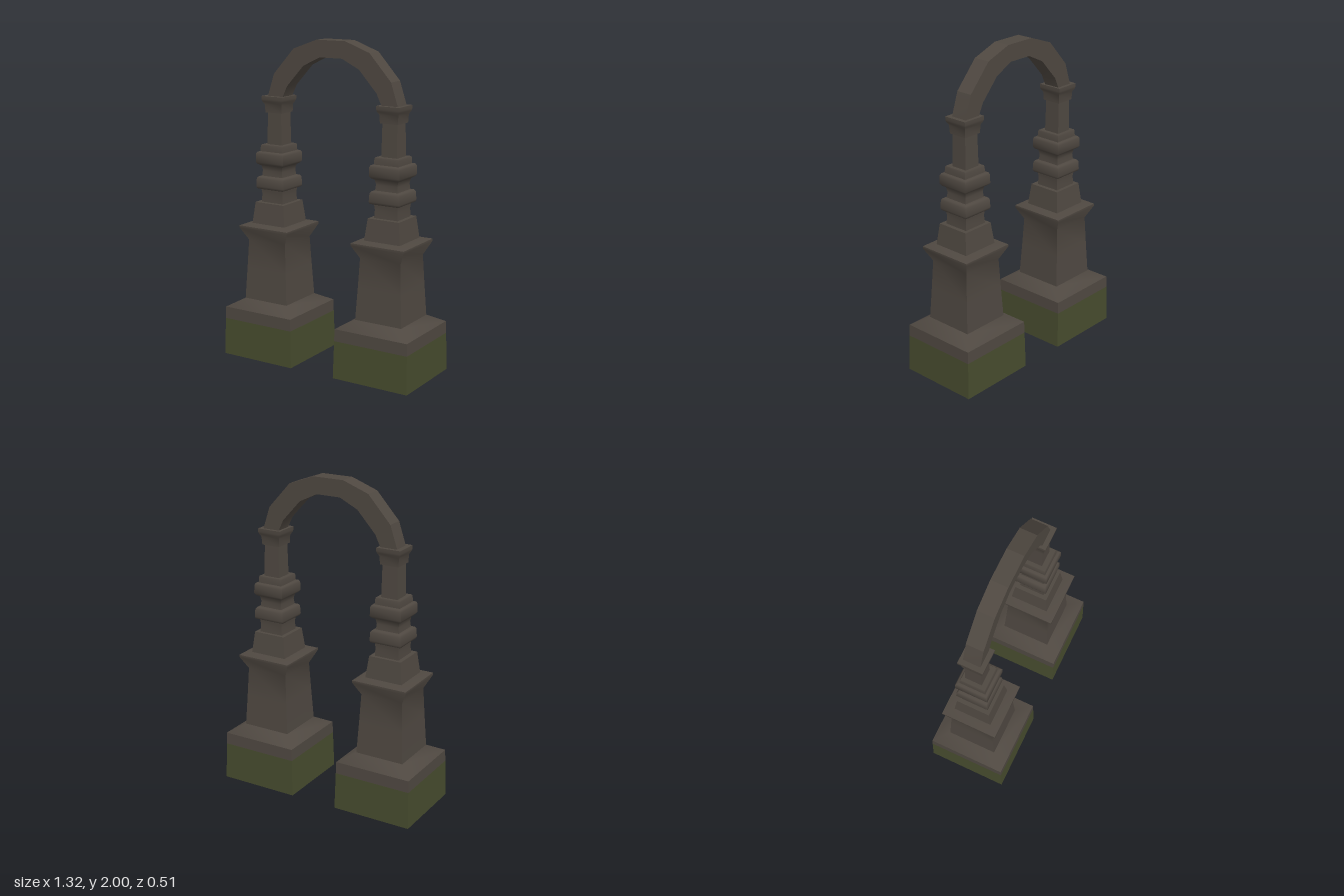
import * as THREE from 'three';
import { toCreasedNormals } from 'three/addons/utils/BufferGeometryUtils.js';

const stone = new THREE.MeshStandardMaterial({ color: 0x4f4841 });
stone.name = 'weathered stone';
const moss = new THREE.MeshStandardMaterial({ color: 0x474c2e });
moss.name = 'moss green';

// Square-section turning: profile rows are [half width, height], bottom to top
function squareTurned(name, profile, material, z = 0) {
  const points = profile.map(([half, y]) => new THREE.Vector2(half * Math.SQRT2, y));
  const geometry = new THREE.LatheGeometry(points, 4, Math.PI / 4);
  const mesh = new THREE.Mesh(toCreasedNormals(geometry, 0.95), material);
  mesh.name = name;
  mesh.position.z = z;
  return mesh;
}

function createPillar(name, x) {
  const pillar = new THREE.Group();
  pillar.name = name;
  pillar.position.x = x;

  pillar.add(squareTurned('mossyBase', [
    [0, 0], [0.254, 0], [0.248, 0.235],
  ], moss));

  // Upper plinth, tapering pedestal and its flared ledge
  pillar.add(squareTurned('pedestal', [
    [0.248, 0.235], [0.246, 0.31], [0.157, 0.36], [0.146, 0.56], [0.137, 0.74],
    [0.178, 0.82], [0.178, 0.835], [0.12, 0.847], [0, 0.847],
  ], stone));

  pillar.add(squareTurned('steppedBlock', [
    [0.121, 0.843], [0.112, 0.92], [0.105, 0.98], [0, 0.98],
  ], stone));

  // Neck with two rounded collars
  pillar.add(squareTurned('collaredNeck', [
    [0.08, 0.97], [0.076, 1.03], [0.08, 1.06], [0.099, 1.067], [0.103, 1.08],
    [0.1, 1.13], [0.092, 1.141], [0.076, 1.145], [0.072, 1.18], [0.078, 1.21],
    [0.095, 1.22], [0.103, 1.232], [0.102, 1.285], [0.096, 1.297], [0.082, 1.3],
    [0.08, 1.335], [0.077, 1.342], [0, 1.342],
  ], stone, -0.004));

  pillar.add(squareTurned('shaft', [
    [0.053, 1.335], [0.049, 1.56],
  ], stone, -0.01));

  pillar.add(squareTurned('capital', [
    [0, 1.54], [0.06, 1.54], [0.063, 1.59], [0.074, 1.61], [0.077, 1.622],
    [0.077, 1.642], [0, 1.642],
  ], stone, -0.01));

  // Bare stone spot on the underside
  const spot = new THREE.Mesh(new THREE.CylinderGeometry(0.1, 0.1, 0.002, 8), stone);
  spot.name = 'undersidePatch';
  spot.position.y = 0.0005;
  pillar.add(spot);
  return pillar;
}

// Faceted arch band, mirrored from its right half
function createArch() {
  const outer = [[0.46, 1.62], [0.455, 1.645], [0.41, 1.78], [0.265, 1.94], [0.1, 2]];
  const inner = [[0.078, 1.897], [0.195, 1.84], [0.314, 1.71], [0.35, 1.635], [0.353, 1.62]];
  const mirrored = (points) => points.map(([x, y]) => [-x, y]).reverse();
  const outline = [...outer, ...mirrored(outer), ...mirrored(inner), ...inner];
  const shape = new THREE.Shape(outline.map(([x, y]) => new THREE.Vector2(x, y)));
  const geometry = new THREE.ExtrudeGeometry(shape, { depth: 0.105, bevelEnabled: false });
  const arch = new THREE.Mesh(toCreasedNormals(geometry, 0.3), stone);
  arch.name = 'arch';
  arch.position.z = -0.066;
  return arch;
}

export function createModel() {
  const model = new THREE.Group();
  model.name = 'stoneArchway';
  model.add(createPillar('leftPillar', 0.405), createPillar('rightPillar', -0.409), createArch());
  return model;
}
